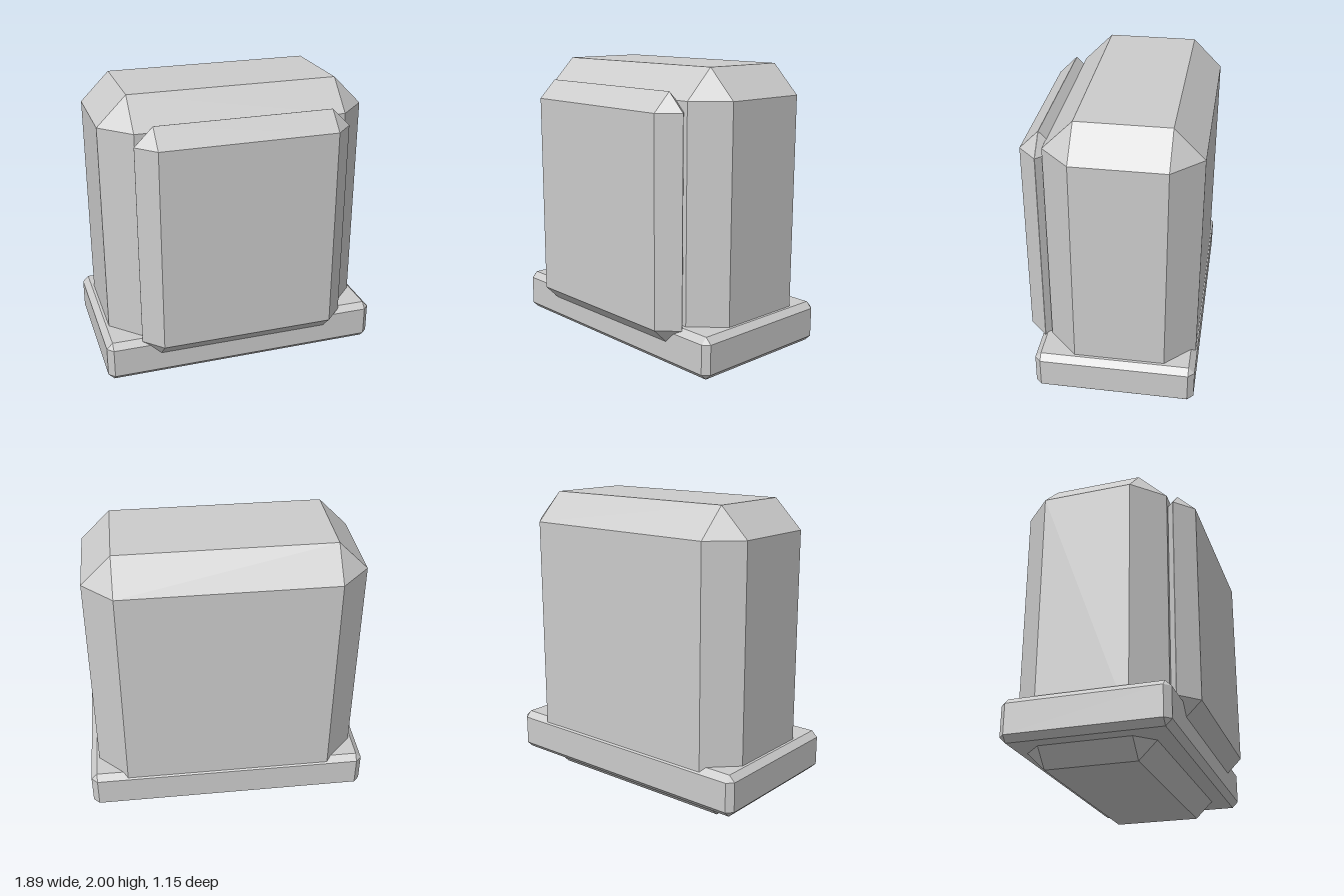
import * as THREE from 'three';
import { ConvexGeometry } from 'three/addons/geometries/ConvexGeometry.js';

const material = new THREE.MeshStandardMaterial({ color: 0xcccccc, flatShading: true });

// Box between two corners with every edge cut by a flat 45 degree chamfer.
function chamferedBox(name, min, max, bevel) {
  const center = min.map((v, i) => (v + max[i]) / 2);
  const half = min.map((v, i) => (max[i] - v) / 2);
  const points = [];
  for (const sx of [-1, 1]) for (const sy of [-1, 1]) for (const sz of [-1, 1]) {
    // each corner becomes three points, one on each neighbouring face
    for (let face = 0; face < 3; face++) {
      const p = [sx, sy, sz].map((s, i) => s * (half[i] - (i === face ? 0 : bevel)));
      points.push(new THREE.Vector3(...p));
    }
  }
  const mesh = new THREE.Mesh(new ConvexGeometry(points), material);
  mesh.position.set(...center);
  mesh.name = name;
  return mesh;
}

export function createModel() {
  const group = new THREE.Group();
  group.name = 'pack';
  group.add(
    // tall main block, reaching through the base to the ground
    chamferedBox('body', [-0.887, 0, -0.565], [0.887, 2, 0.41], 0.193),
    // wide band around the bottom
    chamferedBox('baseBand', [-0.945, 0.115, -0.575], [0.945, 0.392, 0.48], 0.04),
    // thin panel on the front, its chamfers meeting in a sharp rim
    chamferedBox('frontPanel', [-0.707, 0.255, 0.331], [0.707, 1.862, 0.577], 0.122),
  );
  return group;
}
